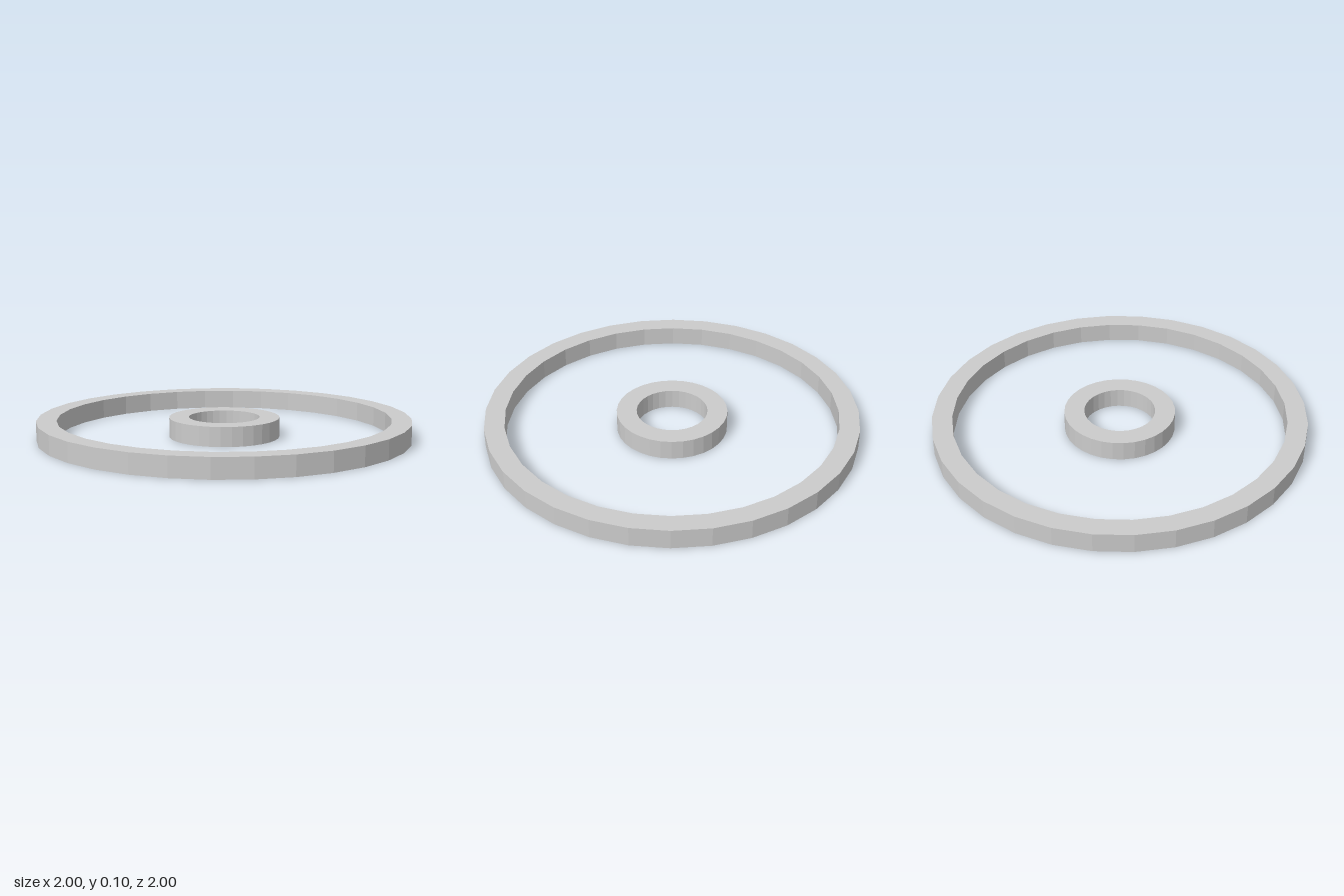
import * as THREE from 'three';

const HEIGHT = 0.105;
const SIDES = 32;

// Flat ring with a rectangular section, standing on y = 0
function ring(name, inner, outer, material) {
  const profile = [
    [inner, 0], [outer, 0], [outer, HEIGHT], [inner, HEIGHT], [inner, 0],
  ].map(([x, y]) => new THREE.Vector2(x, y));
  const mesh = new THREE.Mesh(new THREE.LatheGeometry(profile, SIDES), material);
  mesh.name = name;
  return mesh;
}

export function createModel() {
  const group = new THREE.Group();
  group.name = 'concentricRings';
  const material = new THREE.MeshStandardMaterial({ color: 0xcccccc, flatShading: true });

  group.add(
    ring('outerRing', 0.893, 1, material),
    ring('innerRing', 0.19, 0.297, material),
  );
  return group;
}
